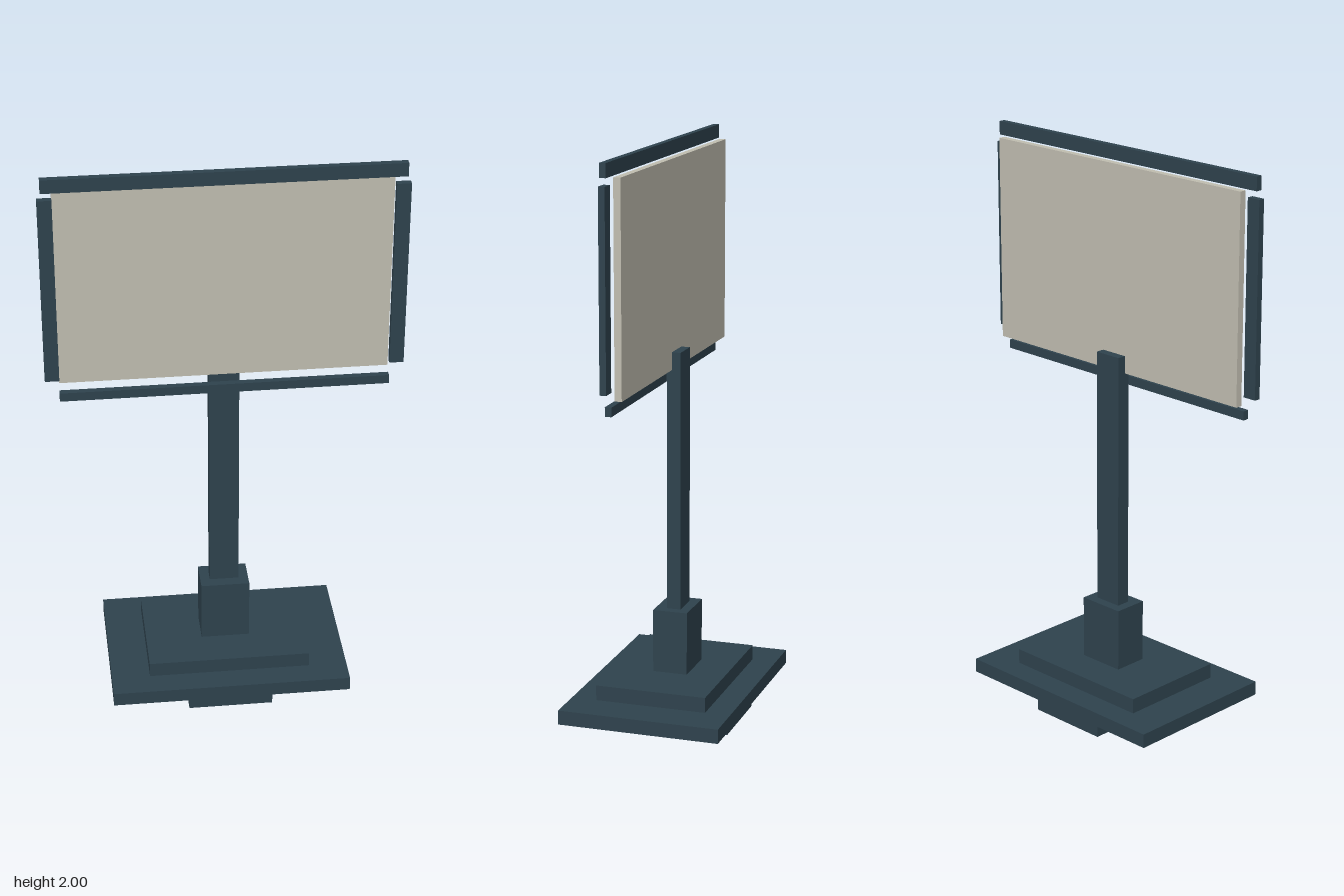
import * as THREE from 'three';

export function createModel() {
  const model = new THREE.Group();
  model.name = 'signStand';

  const slate = new THREE.MeshStandardMaterial({ color: 0x2e424d });
  slate.name = 'dark slate';
  const cream = new THREE.MeshStandardMaterial({ color: 0xc0bdb0 });
  cream.name = 'warm grey';

  // Box given by its lower and upper bounds on each axis
  function addBox(name, material, [x0, x1], [y0, y1], [z0, z1]) {
    const mesh = new THREE.Mesh(new THREE.BoxGeometry(x1 - x0, y1 - y0, z1 - z0), material);
    mesh.position.set((x0 + x1) / 2, (y0 + y1) / 2, (z0 + z1) / 2);
    mesh.name = name;
    model.add(mesh);
  }

  // Stepped base and post
  addBox('foot', slate, [-0.148, 0.148], [0, 0.075], [-0.232, 0.232]);
  addBox('basePlate', slate, [-0.417, 0.417], [0.075, 0.125], [-0.282, 0.282]);
  addBox('baseStep', slate, [-0.283, 0.283], [0.125, 0.178], [-0.195, 0.194]);
  addBox('collar', slate, [-0.085, 0.085], [0.178, 0.4], [-0.066, 0.056]);
  addBox('post', slate, [-0.051, 0.051], [0.4, 1.303], [-0.032, 0.017]);

  // Sign board
  addBox('board', cream, [-0.552, 0.552], [1.242, 1.952], [-0.001, 0.023]);

  // Four separate frame bars in front of the board
  const barZ = [0.034, 0.056];
  addBox('topBar', slate, [-0.588, 0.588], [1.953, 2], barZ);
  addBox('bottomBar', slate, [-0.553, 0.553], [1.19, 1.221], barZ);
  addBox('leftBar', slate, [0.552, 0.6], [1.269, 1.928], barZ);
  addBox('rightBar', slate, [-0.6, -0.552], [1.269, 1.928], barZ);

  return model;
}
